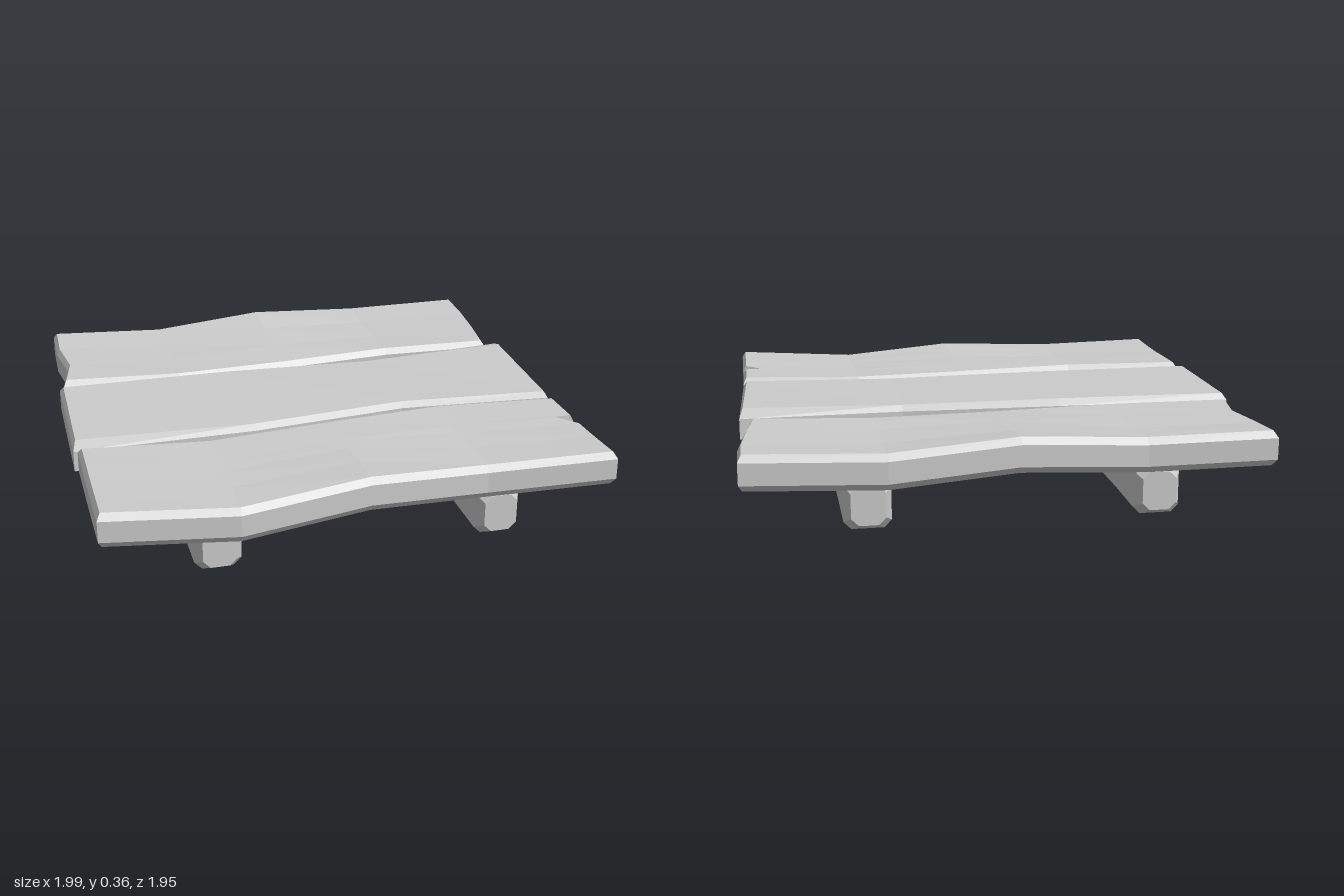
import * as THREE from 'three';

const material = new THREE.MeshStandardMaterial({ color: 0xcccccc, flatShading: true });
const lerp = THREE.MathUtils.lerp;

// Collects quads (corners counter-clockwise from outside) into a mesh
function quadMesh(name, quads) {
  const pos = [];
  for (const [a, b, c, d] of quads) pos.push(...a, ...b, ...c, ...a, ...c, ...d);
  const geo = new THREE.BufferGeometry();
  geo.setAttribute('position', new THREE.Float32BufferAttribute(pos, 3));
  geo.computeVertexNormals();
  const mesh = new THREE.Mesh(geo, material);
  mesh.name = name;
  return mesh;
}

// Chamfered, warped board.
// stations along x: [x, zBack, zFront, yBack, yFront, chamferBack, chamferFront]
// rows from back to front: [t, xLeftEnd, xRightEnd, yWarp]
function plank(name, stations, rows) {
  const m = stations.length - 1, n = rows.length - 1;
  const point = (i, j, y, inset) => {
    const [x, zb, zf, yb, yf, cb = 0.024, cf = 0.02] = stations[i];
    const [t, xl, xr, warp] = rows[j];
    let px = i === 0 ? xl : i === m ? xr : x;
    let pz = lerp(zb, zf, t);
    if (inset) {
      if (i === 0) px += 0.014;
      if (i === m) px -= 0.014;
      if (j === 0) pz += cb;
      if (j === n) pz -= cf;
    }
    return [px, y + lerp(yb, yf, t) + warp, pz];
  };
  const levels = [[0.195, true], [0.222, false], [0.303, false], [0.328, true]];
  const quads = [];
  // Top and bottom faces
  for (let i = 0; i < m; i++) for (let j = 0; j < n; j++) {
    const cell = [[i, j], [i, j + 1], [i + 1, j + 1], [i + 1, j]];
    quads.push(cell.map(([a, b]) => point(a, b, ...levels[3])));
    quads.push(cell.map(([a, b]) => point(a, b, ...levels[0])).reverse());
  }
  // Rim: lower chamfer, edge, upper chamfer
  const rim = [];
  for (let j = 0; j < n; j++) rim.push([0, j]);
  for (let i = 0; i < m; i++) rim.push([i, n]);
  for (let j = n; j > 0; j--) rim.push([m, j]);
  for (let i = m; i > 0; i--) rim.push([i, 0]);
  rim.forEach((p, k) => {
    const q = rim[(k + 1) % rim.length];
    for (let l = 0; l < 3; l++) {
      quads.push([point(...p, ...levels[l]), point(...q, ...levels[l]),
        point(...q, ...levels[l + 1]), point(...p, ...levels[l + 1])]);
    }
  });
  return quadMesh(name, quads);
}

// Chamfered support beam running along z; sections: [z, xShift, inset, yShift]
function beam(name, x, sections) {
  const rings = sections.map(([z, dx, inset, dy]) => {
    const w = 0.088 - inset, lo = dy + inset, hi = 0.197 - inset, c = 0.028;
    return [[w, lo + c], [w, hi - c], [w - c, hi], [c - w, hi], [-w, hi - c],
      [-w, lo + c], [c - w, lo], [w - c, lo]].map(([px, py]) => [x + dx + px, py, z]);
  });
  const quads = [];
  for (let s = 0; s < rings.length - 1; s++) for (let k = 0; k < 8; k++) {
    const k2 = (k + 1) % 8;
    quads.push([rings[s][k], rings[s][k2], rings[s + 1][k2], rings[s + 1][k]]);
  }
  // End caps, each octagon as three quads
  const cap = (r) => [[r[0], r[1], r[2], r[3]], [r[0], r[3], r[4], r[7]], [r[4], r[5], r[6], r[7]]];
  quads.push(...cap(rings[rings.length - 1]));
  quads.push(...cap(rings[0]).map((q) => q.reverse()));
  return quadMesh(name, quads);
}

export function createModel() {
  const group = new THREE.Group();
  group.name = 'plankPlatform';

  group.add(plank('backPlank', [
    [-0.95, -0.95, -0.355, 0.008, -0.005],
    [-0.475, -0.92, -0.325, -0.004, -0.012],
    [0, -0.955, -0.355, 0.028, -0.015],
    [0.475, -0.98, -0.39, -0.004, -0.012],
    [0.96, -0.95, -0.355, 0.008, -0.005],
  ], [
    [0, -0.955, 0.99, 0],
    [0.33, -0.96, 0.99, -0.008],
    [0.67, -0.935, 0.968, -0.006],
    [1, -0.968, 0.94, 0],
  ]));

  group.add(plank('middlePlank', [
    [-0.99, -0.305, 0.32, 0, 0, 0.024, 0.055],
    [-0.29, -0.305, 0.295, 0.003, -0.005, 0.03, 0.015],
    [0.34, -0.265, 0.24, -0.003, 0, 0.012, 0.015],
    [0.97, -0.34, 0.29, 0.012, 0, 0.075, 0.015],
  ], [
    [0, -0.99, 0.98, 0],
    [1, -1, 0.96, 0],
  ]));

  // Front plank with a split notched into its left end
  const frontEnd = [[0, 0.96, 0], [0.34, 0.96, -0.003], [0.345, 0.893, -0.003],
    [0.475, 0.96, -0.005], [0.7, 0.96, -0.004], [1, 0.96, 0]];
  group.add(plank('frontPlank', [
    [-0.98, 0.33, 0.92, 0, 0.005],
    [-0.49, 0.375, 0.968, -0.004, -0.015],
    [0, 0.32, 0.915, -0.004, 0.016],
    [0.465, 0.28, 0.868, -0.004, -0.015],
    [0.96, 0.33, 0.92, 0, 0.005],
  ], frontEnd.map(([t, xr, warp]) => [t, -0.985, xr, warp])));

  // Two beams under the planks
  const sections = [[-0.84, 0, 0.024, 0.002], [-0.79, 0, 0, 0], [-0.55, 0, 0, 0.008],
    [0, 0, 0, 0.01], [0.55, 0, 0, 0.008], [0.79, 0, 0, 0], [0.84, 0, 0.024, 0.002]];
  group.add(beam('rightBeam', -0.545, sections));
  group.add(beam('leftBeam', 0.535, sections));
  return group;
}
